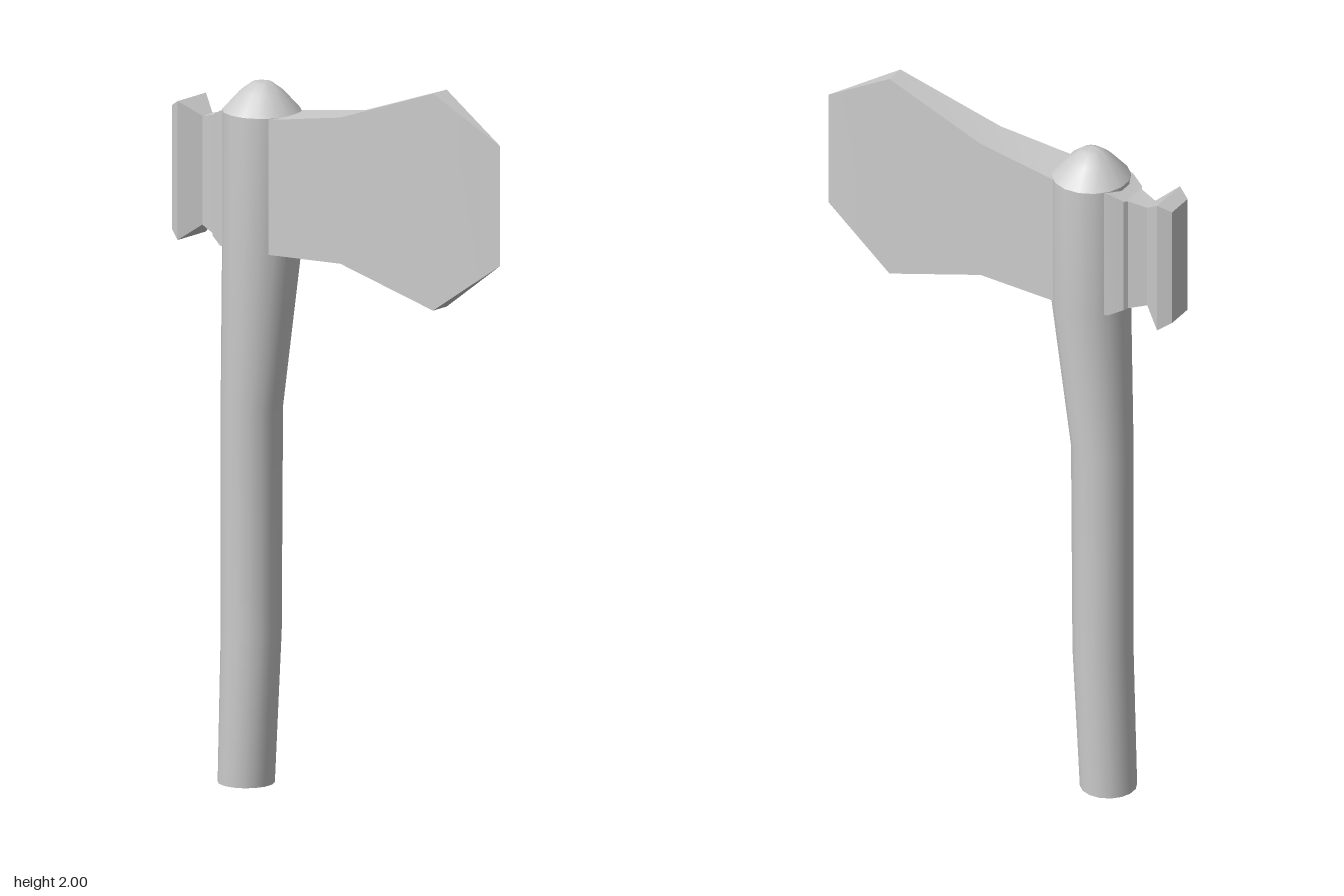
import * as THREE from 'three';
import { toCreasedNormals } from 'three/addons/utils/BufferGeometryUtils.js';

const material = new THREE.MeshStandardMaterial({ color: 0xcccccc });

// Skin a row of equal-length rings of [x, y, z], closing both ends
function loft(name, rings, crease = 0.5) {
  const n = rings[0].length, index = [];
  const last = (rings.length - 1) * n;
  for (let i = 0; i < rings.length - 1; i++) {
    for (let j = 0; j < n; j++) {
      const a = i * n + j, b = i * n + (j + 1) % n;
      index.push(a, b, b + n, a, b + n, a + n);
    }
  }
  for (let j = 1; j < n - 1; j++) {
    index.push(0, j + 1, j, last, last + j, last + j + 1);
  }
  const geometry = new THREE.BufferGeometry();
  geometry.setAttribute('position', new THREE.Float32BufferAttribute(rings.flat(2), 3));
  geometry.setIndex(index);
  const mesh = new THREE.Mesh(toCreasedNormals(geometry, crease), material);
  mesh.name = name;
  return mesh;
}

// Horizontal circle used by the handle and cap
function circle([y, x, r], sides = 16) {
  return Array.from({ length: sides }, (_, i) => {
    const t = (i + 0.5) / sides * Math.PI * 2;
    return [x + r * Math.sin(t), y, r * Math.cos(t)];
  });
}

// Upright rectangle across x used by the head parts
const slab = ([x, y0, y1, z]) => [[x, y0, -z], [x, y1, -z], [x, y1, z], [x, y0, z]];

export function createModel() {
  const group = new THREE.Group();
  group.name = 'axe';

  // Slightly bent handle, widening into the head: [y, centre x, radius]
  group.add(loft('handle', [
    [0, -0.323, 0.077], [0.42, -0.306, 0.082], [1.04, -0.304, 0.084],
    [1.48, -0.27, 0.107], [1.86, -0.27, 0.107],
  ].map((s) => circle(s))));

  // Domed cap on the top end
  group.add(loft('cap', [
    [1.86, -0.27, 0.107], [1.912, -0.27, 0.06], [1.936, -0.27, 0.028], [1.94, -0.27, 0.012],
  ].map((s) => circle(s))));

  // Blade tapering to a vertical cutting edge: [x, bottom, top, half thickness]
  group.add(loft('blade', [
    [-0.25, 1.485, 1.855, 0.073], [-0.185, 1.485, 1.858, 0.07], [0.04, 1.492, 1.895, 0.055],
    [0.335, 1.402, 2, 0.03], [0.54, 1.55, 1.88, 0],
  ].map(slab), 0.2));

  // Flared poll behind the handle, with a narrow neck
  group.add(loft('poll', [
    [-0.543, 1.5, 1.84, 0.042], [-0.508, 1.477, 1.86, 0.062], [-0.455, 1.52, 1.82, 0.022],
    [-0.405, 1.505, 1.833, 0.038], [-0.398, 1.503, 1.836, 0.05],
    [-0.36, 1.485, 1.857, 0.067], [-0.27, 1.485, 1.857, 0.09],
  ].map(slab), 0.2));

  return group;
}
